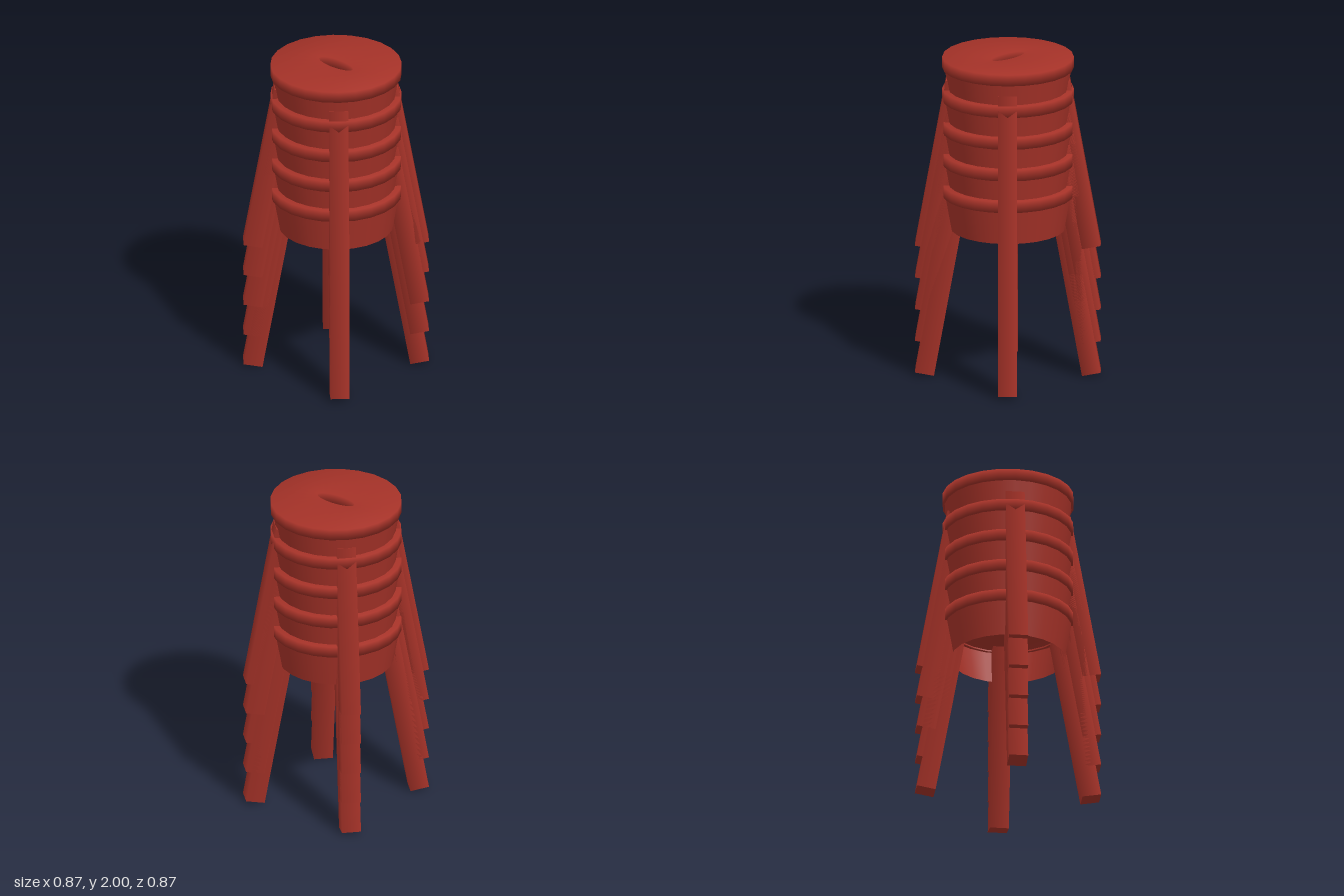
import * as THREE from 'three';

const STOOLS = 5, STEP = 0.2, SIDES = 24;
const red = new THREE.MeshStandardMaterial({ color: 0xa53228 });
red.name = 'red plastic';
const redOpen = red.clone(); // same red, visible from both sides
redOpen.side = THREE.DoubleSide;

// Round seat disc with an oval grip hole, smooth over all its edges
function seatGeometry() {
  const loops = [ // x radius, z radius, height
    [0.397, 0.397, 1.13], [0.397, 0.397, 1.2],
    [0.132, 0.048, 1.2], [0.132, 0.048, 1.13],
  ];
  const pos = [], index = [], n = loops.length;
  for (let i = 0; i < SIDES; i++) {
    const t = (i / SIDES) * Math.PI * 2;
    for (const [rx, rz, y] of loops) pos.push(rx * Math.cos(t), y, rz * Math.sin(t));
    for (let j = 0; j < n; j++) {
      const k = (j + 1) % n, next = ((i + 1) % SIDES) * n;
      const a = i * n + j, b = i * n + k, c = next + k, d = next + j;
      index.push(a, b, d, b, c, d);
    }
  }
  const g = new THREE.BufferGeometry();
  g.setAttribute('position', new THREE.Float32BufferAttribute(pos, 3));
  g.setIndex(index);
  g.computeVertexNormals();
  return g;
}

// Square leg leaning outwards along +z, with smooth sides
function legGeometry() {
  const top = new THREE.Vector3(0, 1.05, 0.317);
  const foot = new THREE.Vector3(0, 0.0102, 0.503);
  const axis = top.clone().sub(foot);
  const g = new THREE.CylinderGeometry(0.0815, 0.0815, axis.length(), 4, 1, false, Math.PI / 4);
  g.rotateX(Math.atan2(axis.z, axis.y));
  const mid = top.add(foot).multiplyScalar(0.5);
  g.translate(mid.x, mid.y, mid.z);
  return g;
}

export function createModel() {
  const model = new THREE.Group();
  model.name = 'stackedStools';
  const seatGeo = seatGeometry();
  const skirtGeo = new THREE.CylinderGeometry(0.388, 0.347, 0.23, SIDES, 1, true);
  skirtGeo.translate(0, 1.035, 0);
  const legGeo = legGeometry();

  for (let s = 0; s < STOOLS; s++) {
    const stool = new THREE.Group();
    stool.name = `stool${s + 1}`;
    stool.position.y = s * STEP;

    const seat = new THREE.Mesh(seatGeo, red);
    seat.name = 'seat';
    const skirt = new THREE.Mesh(skirtGeo, redOpen);
    skirt.name = 'skirt';
    stool.add(seat, skirt);

    // Four legs on the diagonals
    for (let i = 0; i < 4; i++) {
      const leg = new THREE.Mesh(legGeo, red);
      leg.name = `leg${i + 1}`;
      leg.rotation.y = Math.PI / 4 + (i * Math.PI) / 2;
      stool.add(leg);
    }
    model.add(stool);
  }
  return model;
}
